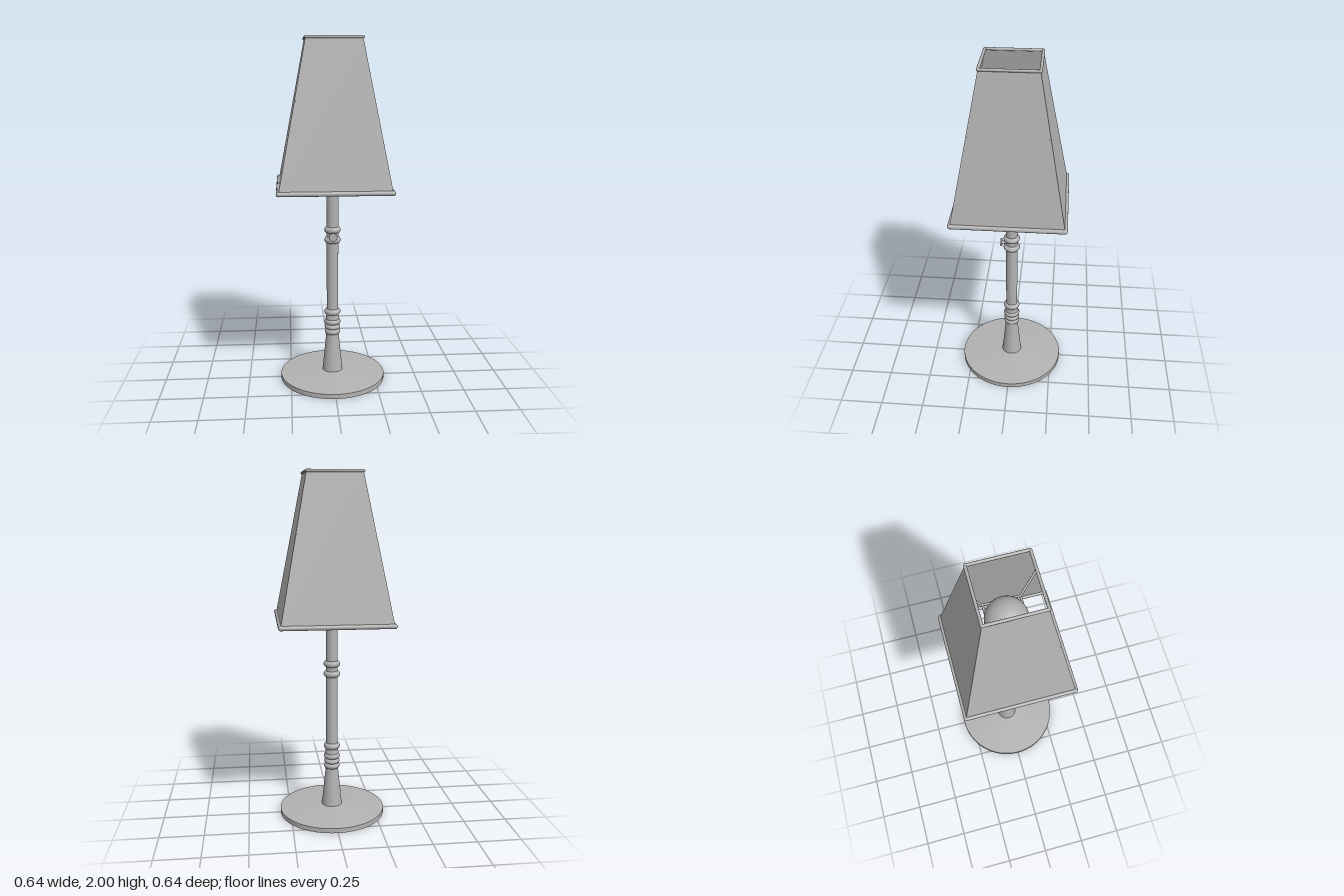
import * as THREE from 'three';

const grey = new THREE.MeshStandardMaterial({ color: 0xb2b2b2 });
grey.name = 'grey';
const greyThin = grey;
greyThin.side = THREE.DoubleSide;

function add(parent, name, geometry, x = 0, y = 0, z = 0) {
  const mesh = new THREE.Mesh(geometry, grey);
  mesh.name = name;
  mesh.position.set(x, y, z);
  parent.add(mesh);
  return mesh;
}

// Round rod between two points
function rod(parent, name, a, b, r) {
  const dir = b.clone().sub(a);
  const mesh = add(parent, name, new THREE.CylinderGeometry(r, r, dir.length(), 12));
  mesh.position.copy(a).add(b).multiplyScalar(0.5);
  mesh.quaternion.setFromUnitVectors(new THREE.Vector3(0, 1, 0), dir.normalize());
}

// Square of rods with rounded corners
function squareFrame(parent, name, half, y, r) {
  const frame = new THREE.Group();
  frame.name = name;
  const corners = [[1, 1], [1, -1], [-1, -1], [-1, 1]]
    .map(([x, z]) => new THREE.Vector3(x * half, y, z * half));
  corners.forEach((c, i) => {
    rod(frame, name + 'Bar', c, corners[(i + 1) % 4], r);
    add(frame, name + 'Corner', new THREE.SphereGeometry(r, 12, 8), c.x, c.y, c.z);
  });
  parent.add(frame);
}

// Turned part; straight segments with hard edges
function turned(parent, name, points, segments = 40) {
  points.slice(1).forEach((p, i) => {
    const pair = [points[i], p].map(([r, y]) => new THREE.Vector2(r, y));
    add(parent, name, new THREE.LatheGeometry(pair, segments));
  });
}

// Bead around the stem: ring with a rounded edge
function bead(parent, y, r, h) {
  const pts = [];
  for (let i = 0; i <= 10; i++) {
    const a = -Math.PI / 2 + (i / 10) * Math.PI;
    pts.push(new THREE.Vector2(r - h + h * Math.cos(a), y + h * Math.sin(a)));
  }
  add(parent, 'stemBead', new THREE.LatheGeometry(pts, 32));
}

export function createModel() {
  const lamp = new THREE.Group();
  lamp.name = 'tableLamp';

  // Base disc and flared foot
  turned(lamp, 'base', [[0, 0], [0.31, 0], [0.31, 0.028], [0.06, 0.046]], 64);
  turned(lamp, 'foot', [[0.06, 0.044], [0.037, 0.27]]);

  // Stem with turned beads
  turned(lamp, 'stem', [[0.034, 0.26], [0.034, 1.28]]);
  bead(lamp, 0.288, 0.046, 0.017);
  bead(lamp, 0.318, 0.046, 0.015);
  bead(lamp, 0.350, 0.048, 0.018);
  bead(lamp, 0.412, 0.048, 0.019);
  turned(lamp, 'stemCollar', [[0.04, 0.36], [0.036, 0.40]]);
  bead(lamp, 0.852, 0.048, 0.019);
  bead(lamp, 0.912, 0.048, 0.019);

  // Switch knob on the front
  add(lamp, 'knobShaft', new THREE.CylinderGeometry(0.009, 0.009, 0.04, 16), 0, 0.88, 0.044).rotation.x = Math.PI / 2;
  add(lamp, 'knob', new THREE.CylinderGeometry(0.024, 0.024, 0.01, 24), 0, 0.88, 0.061).rotation.x = Math.PI / 2;

  // Socket
  turned(lamp, 'socket', [[0.034, 1.27], [0.048, 1.29], [0.048, 1.35], [0.04, 1.37], [0.04, 1.46], [0, 1.46]]);

  // Bulb
  const bulb = [[0.036, 1.45], [0.04, 1.49], [0.065, 1.54], [0.095, 1.59]];
  for (let i = 0; i <= 12; i++) {
    const a = -0.2 + (i / 12) * (Math.PI / 2 + 0.2);
    bulb.push([0.112 * Math.cos(a), 1.65 + 0.112 * Math.sin(a)]);
  }
  add(lamp, 'bulb', new THREE.LatheGeometry(bulb.map(([r, y]) => new THREE.Vector2(Math.max(r, 0), y)), 32));

  // Frame around the bulb, with struts to the shade corners
  squareFrame(lamp, 'shadeHolder', 0.097, 1.66, 0.006);
  for (const x of [-1, 1]) for (const z of [-1, 1]) {
    rod(lamp, 'shadeStrut', new THREE.Vector3(x * 0.097, 1.66, z * 0.097),
      new THREE.Vector3(x * 0.212, 1.66, z * 0.212), 0.006);
  }

  // Four-sided tapered shade
  const d = Math.SQRT2;
  const shade = new THREE.CylinderGeometry(0.153 * d, 0.307 * d, 0.815, 4, 1, true).toNonIndexed();
  shade.computeVertexNormals();
  add(lamp, 'shade', shade, 0, 1.5845, 0).rotation.y = Math.PI / 4;
  squareFrame(lamp, 'shadeTopRim', 0.153, 1.992, 0.008);
  squareFrame(lamp, 'shadeBottomRim', 0.307, 1.178, 0.013);

  return lamp;
}
